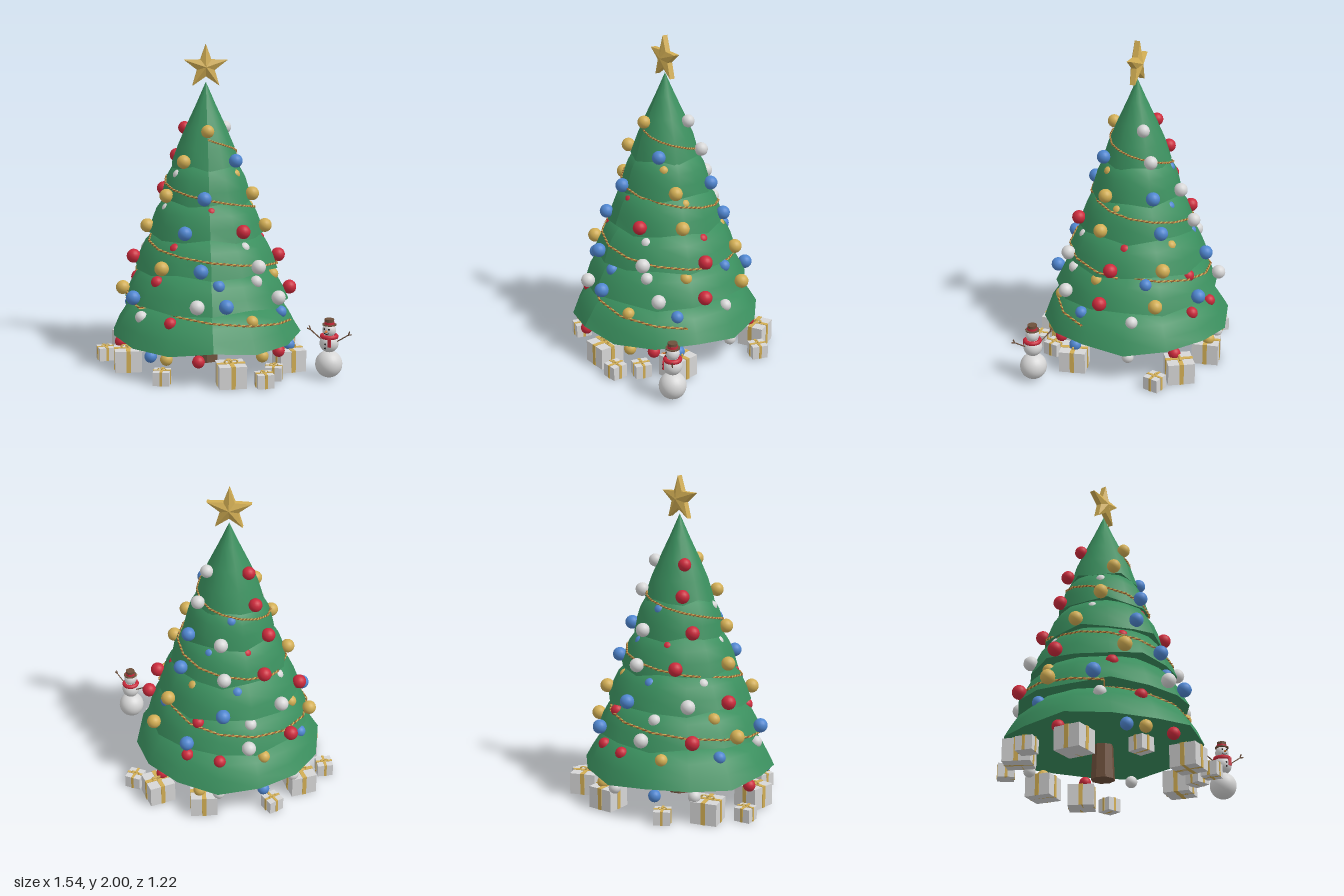
import * as THREE from 'three';

const mat = (name, color) => {
  const m = new THREE.MeshStandardMaterial({ color });
  m.name = name;
  return m;
};
const M = {
  green: mat('pine green', 0x3a8f5e),
  gold: mat('gold', 0xd2ae54),
  red: mat('red', 0xcc2a3c),
  blue: mat('blue', 0x4f86d0),
  white: mat('silver white', 0xd6d6d6),
  bark: mat('bark brown', 0x6e503c),
  copper: mat('copper', 0x9a6030),
  black: mat('black', 0x222222),
  orange: mat('carrot orange', 0xe07a2a),
};
M.bark.flatShading = true;

const SIDES = 14;
const TIERS = [[0.6, 0.2], [0.52, 0.425], [0.45, 0.63], [0.365, 0.835], [0.285, 1.045], [0.215, 1.255]];
const RAD = Math.PI / 180;

function add(parent, name, geo, material, x = 0, y = 0, z = 0) {
  const m = new THREE.Mesh(geo, material);
  m.name = name;
  m.position.set(x, y, z);
  parent.add(m);
  return m;
}

// Outer outline of one tier, from hem upward
function tierProfile(i) {
  const [R, Y] = TIERS[i];
  const rows = i === 5
    ? [[R, Y], [0.175, 1.38], [0.123, 1.5], [0.062, 1.63], [0, 1.77]]
    : [[R, Y], [R * 0.935, Y + 0.075], [R * 0.86, Y + 0.145], [R * 0.73, Y + 0.21], [R * 0.5, Y + 0.25]];
  return rows.map(([r, y]) => new THREE.Vector2(r, y));
}

// Radius of the faceted foliage at a height and angle
function foliageRadius(y, angle) {
  let i = 5;
  while (i > 0 && y < TIERS[i][1]) i--;
  const p = tierProfile(i);
  let k = 0;
  while (k < p.length - 2 && y > p[k + 1].y) k++;
  const r = THREE.MathUtils.lerp(p[k].x, p[k + 1].x, (y - p[k].y) / (p[k + 1].y - p[k].y));
  const step = (2 * Math.PI) / SIDES;
  const a = THREE.MathUtils.euclideanModulo(angle - Math.PI / 2, step) - step / 2;
  return (r * Math.cos(step / 2)) / Math.cos(a);
}

// Raises and lowers the hem corners so the rim is wavy
function waveHem(geo, i) {
  const [R, Y] = TIERS[i];
  const p = geo.attributes.position;
  for (let k = 0; k < p.count; k++) {
    if (Math.abs(Math.hypot(p.getX(k), p.getZ(k)) - R) > 0.001) continue;
    const a = Math.round(Math.atan2(p.getZ(k), p.getX(k)) / RAD + 360) % 360;
    p.setY(k, Y + 0.017 * Math.sin(a * RAD * 5 + i * 2));
  }
  geo.computeVertexNormals();
  return geo;
}

function makeFoliage(tree) {
  TIERS.forEach(([R, Y], i) => {
    add(tree, 'foliageTier', waveHem(new THREE.LatheGeometry(tierProfile(i), SIDES), i), M.green);
    const under = [new THREE.Vector2(0, Y + 0.012), new THREE.Vector2(R, Y)];
    add(tree, 'foliageUnderside', waveHem(new THREE.LatheGeometry(under, SIDES), i), M.green);
  });
}

// Five-pointed star: raised centre, thin rim
function makeStar(tree) {
  const pos = [];
  const pt = (k, z) => {
    const r = k % 2 ? 0.057 : 0.14, a = Math.PI / 2 + (k * Math.PI) / 5;
    return [r * Math.cos(a), r * Math.sin(a), z];
  };
  const t = 0.017;
  for (let k = 0; k < 10; k++) {
    pos.push(0, 0, 0.04, ...pt(k, t), ...pt(k + 1, t));
    pos.push(0, 0, -0.04, ...pt(k + 1, -t), ...pt(k, -t));
    pos.push(...pt(k, t), ...pt(k, -t), ...pt(k + 1, -t));
    pos.push(...pt(k, t), ...pt(k + 1, -t), ...pt(k + 1, t));
  }
  const geo = new THREE.BufferGeometry();
  geo.setAttribute('position', new THREE.Float32BufferAttribute(pos, 3));
  geo.computeVertexNormals();
  add(tree, 'star', geo, M.gold, 0, 1.86, 0);
}

// Two twisted strands winding down the tree
function makeGarland(tree) {
  const turns = 3.2, n = 1200;
  for (const [phase, material] of [[0, M.copper], [Math.PI, M.gold]]) {
    const pts = [];
    for (let k = 0; k <= n; k++) {
      const t = k / n, a = Math.PI / 2 - t * turns * 2 * Math.PI, y = 1.43 - 1.13 * t;
      const twist = phase + k * 1.05;
      const r = foliageRadius(y, a) + 0.004 + 0.004 * Math.cos(twist);
      pts.push(new THREE.Vector3(r * Math.cos(a), y + 0.004 * Math.sin(twist), r * Math.sin(a)));
    }
    add(tree, 'garland', new THREE.TubeGeometry(new THREE.CatmullRomCurve3(pts), n, 0.0042, 5), material);
  }
}

// Bauble rings: height, ring radius, bauble radius, then angles per colour
const RINGS = [
  [1.48, 0.152, 0.04, { gold: [90], white: [-35], red: [213] }],
  [1.3, 0.23, 0.042, { gold: [130], blue: [42], red: [220], white: [-42] }],
  [1.21, 0.205, 0.033, { white: [150], gold: [35], blue: [260] }],
  [1.09, 0.295, 0.043, { blue: [96, -40], gold: [20, 149], red: [209], white: [273] }],
  [1.0, 0.26, 0.035, { red: [88, 240], gold: [6], blue: [-70], white: [160] }],
  [0.89, 0.372, 0.043, { gold: [172, 16], blue: [114, -44], red: [57, 228], white: [268] }],
  [0.78, 0.34, 0.037, { red: [127, -9], white: [52, 200], gold: [-58], blue: [255] }],
  [0.68, 0.455, 0.044, { gold: [130, -41], blue: [98, 268], white: [50, 218], red: [0, 184] }],
  [0.58, 0.42, 0.038, { red: [139, -70], blue: [84, -28], white: [48, 245], gold: [15, 195] }],
  [0.48, 0.525, 0.044, { blue: [81, 152, 293], white: [37, 100, 250], red: [5, 216], gold: [183, 327] }],
  [0.36, 0.49, 0.038, { white: [148, -17], red: [120, -65, 270], gold: [60, 237], blue: [24, 195] }],
  [0.155, 0.545, 0.038, { gold: [120, 56, -77], red: [99, 40, -46, 173], blue: [24, 132, 240], white: [-15, 270, 215] }],
];
function makeBaubles(tree) {
  for (const [y, ring, r, colours] of RINGS) {
    const geo = new THREE.SphereGeometry(r, 18, 12);
    for (const [colour, angles] of Object.entries(colours))
      for (const a of angles)
        add(tree, 'bauble', geo, M[colour], ring * Math.cos(a * RAD), y, ring * Math.sin(a * RAD));
  }
}

// Wrapped box with crossed ribbon and a bow
function makeGift(x, z, w, h, turn) {
  const g = new THREE.Group();
  g.name = 'gift';
  g.position.set(x, 0, z);
  g.rotation.y = turn * RAD;
  const rib = w * 0.16, e = 0.003;
  add(g, 'giftBox', new THREE.BoxGeometry(w, h, w), M.white, 0, h / 2, 0);
  add(g, 'ribbon', new THREE.BoxGeometry(rib, h + e, w + 2 * e), M.gold, 0, (h + e) / 2, 0);
  add(g, 'ribbon', new THREE.BoxGeometry(w + 2 * e, h + e, rib), M.gold, 0, (h + e) / 2, 0);
  for (const s of [-1, 1]) {
    const loop = add(g, 'bowLoop', new THREE.TorusGeometry(w * 0.09, w * 0.03, 6, 12), M.gold, s * w * 0.12, h + w * 0.07, 0);
    loop.scale.set(1.3, 0.7, 1.5);
  }
  return g;
}

function makeSnowman() {
  const g = new THREE.Group();
  g.name = 'snowman';
  g.position.set(0.648, 0, 0.4);
  g.rotation.y = -0.6;
  for (const [name, y, r] of [['snowBase', 0.083, 0.083], ['snowBody', 0.215, 0.058], ['snowHead', 0.296, 0.042]])
    add(g, name, new THREE.SphereGeometry(r, 24, 16), M.white, 0, y, 0);
  const scarf = add(g, 'scarf', new THREE.TorusGeometry(0.043, 0.014, 8, 24), M.red, 0, 0.257, 0);
  scarf.rotation.x = Math.PI / 2;
  add(g, 'scarfTail', new THREE.BoxGeometry(0.02, 0.05, 0.009), M.red, 0.025, 0.228, 0.054);
  add(g, 'hatBrim', new THREE.CylinderGeometry(0.043, 0.043, 0.006, 20), M.bark, 0, 0.33, 0);
  add(g, 'hatBand', new THREE.CylinderGeometry(0.031, 0.031, 0.014, 20), M.red, 0, 0.34, 0);
  add(g, 'hatCrown', new THREE.CylinderGeometry(0.029, 0.029, 0.034, 20), M.bark, 0, 0.348, 0);
  const nose = add(g, 'nose', new THREE.ConeGeometry(0.008, 0.035, 8), M.orange, 0, 0.295, 0.055);
  nose.rotation.x = Math.PI / 2;
  const dot = new THREE.SphereGeometry(0.006, 8, 6);
  for (const s of [-1, 1]) {
    add(g, 'eye', dot, M.black, s * 0.015, 0.308, 0.037);
    // Stick arm with a forked end
    for (const [x0, y0, x1, y1] of [[0.045, 0.225, 0.125, 0.28], [0.125, 0.28, 0.148, 0.286], [0.125, 0.28, 0.135, 0.305]]) {
      const path = new THREE.LineCurve3(new THREE.Vector3(s * x0, y0, 0), new THREE.Vector3(s * x1, y1, 0));
      add(g, 'stickArm', new THREE.TubeGeometry(path, 1, 0.0038, 6), M.bark);
    }
  }
  for (const y of [0.195, 0.22]) add(g, 'button', dot, M.black, 0, y, 0.057);
  for (let k = -2; k <= 2; k++)
    add(g, 'mouthDot', new THREE.SphereGeometry(0.0035, 6, 5), M.black, k * 0.007, 0.277 + k * k * 0.0012, 0.038);
  return g;
}

export function createModel() {
  const model = new THREE.Group();
  model.name = 'christmasTree';
  const tree = new THREE.Group();
  tree.name = 'tree';
  tree.position.set(-0.07, 0, -0.008);
  model.add(tree);

  add(tree, 'trunk', new THREE.CylinderGeometry(0.06, 0.072, 0.24, 8), M.bark, 0, 0.12, 0);
  makeFoliage(tree);
  makeStar(tree);
  makeGarland(tree);
  makeBaubles(tree);

  // Large and small gifts around the trunk
  const large = [[-0.57, 0.14, 3], [0.04, 0.51, 5], [0.43, 0.22, 12], [0.33, -0.44, 30], [0.03, -0.52, 10], [-0.56, -0.25, 25]];
  const small = [[0.235, 0.55, 8], [0.31, 0.41, -12], [0.495, -0.34, -15], [-0.71, -0.08, 15], [-0.37, 0.45, -10], [-0.4, -0.47, 40]];
  for (const [x, z, a] of large) model.add(makeGift(x, z, 0.165, 0.135, a));
  for (const [x, z, a] of small) model.add(makeGift(x, z, 0.1, 0.083, a));

  model.add(makeSnowman());
  return model;
}
